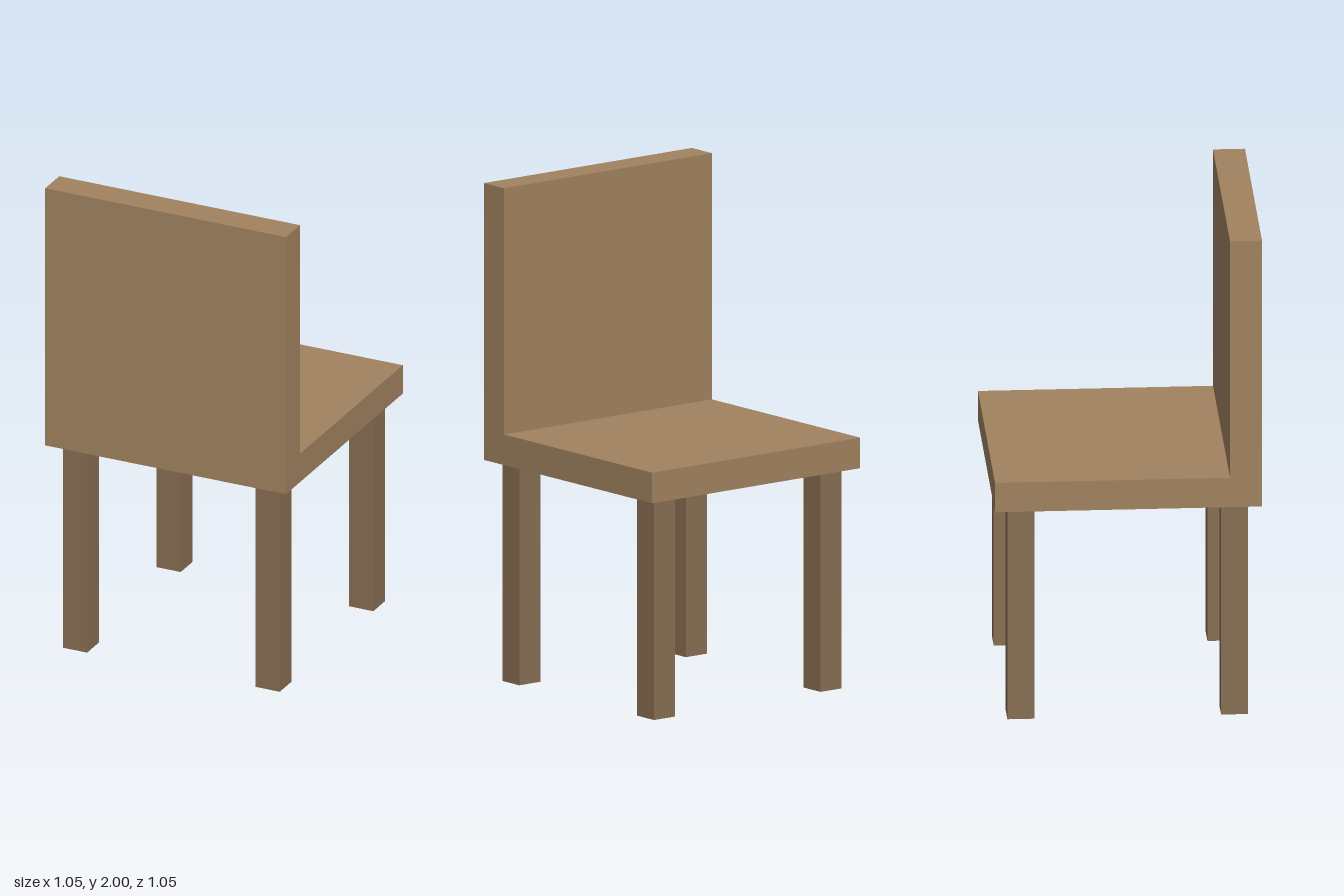
import * as THREE from 'three';

const HALF = 0.526;        // half width and depth of the seat
const SEAT_BOTTOM = 0.887;
const SEAT_TOP = 1.01;
const BACK_INNER = 0.4;    // z of the backrest's inner face
const LEG_SIZE = 0.106;
const LEG_OFFSET = 0.421;

export function createModel() {
  const chair = new THREE.Group();
  chair.name = 'chair';

  const seatMaterial = new THREE.MeshStandardMaterial({ color: 0xa0825f });
  const legMaterial = new THREE.MeshStandardMaterial({ color: 0x876d52 });

  // Seat and backrest: one L-shaped side profile (z, y) extruded across x
  const profile = new THREE.Shape([
    [-HALF, SEAT_BOTTOM], [HALF, SEAT_BOTTOM], [HALF, 2],
    [BACK_INNER, 2], [BACK_INNER, SEAT_TOP], [-HALF, SEAT_TOP],
  ].map(([z, y]) => new THREE.Vector2(z, y)));
  const bodyGeometry = new THREE.ExtrudeGeometry(profile, { depth: 2 * HALF, bevelEnabled: false });
  bodyGeometry.translate(0, 0, -HALF).rotateY(-Math.PI / 2);
  const body = new THREE.Mesh(bodyGeometry, seatMaterial);
  body.name = 'seatAndBackrest';
  chair.add(body);

  // Four square legs, inset from the seat corners
  const legGeometry = new THREE.BoxGeometry(LEG_SIZE, SEAT_BOTTOM, LEG_SIZE);
  for (const [zName, zSide] of [['front', 1], ['back', -1]]) {
    for (const [xName, xSide] of [['Left', 1], ['Right', -1]]) {
      const leg = new THREE.Mesh(legGeometry, legMaterial);
      leg.name = `${zName}${xName}Leg`;
      leg.position.set(xSide * LEG_OFFSET, SEAT_BOTTOM / 2, zSide * LEG_OFFSET);
      chair.add(leg);
    }
  }

  return chair;
}
